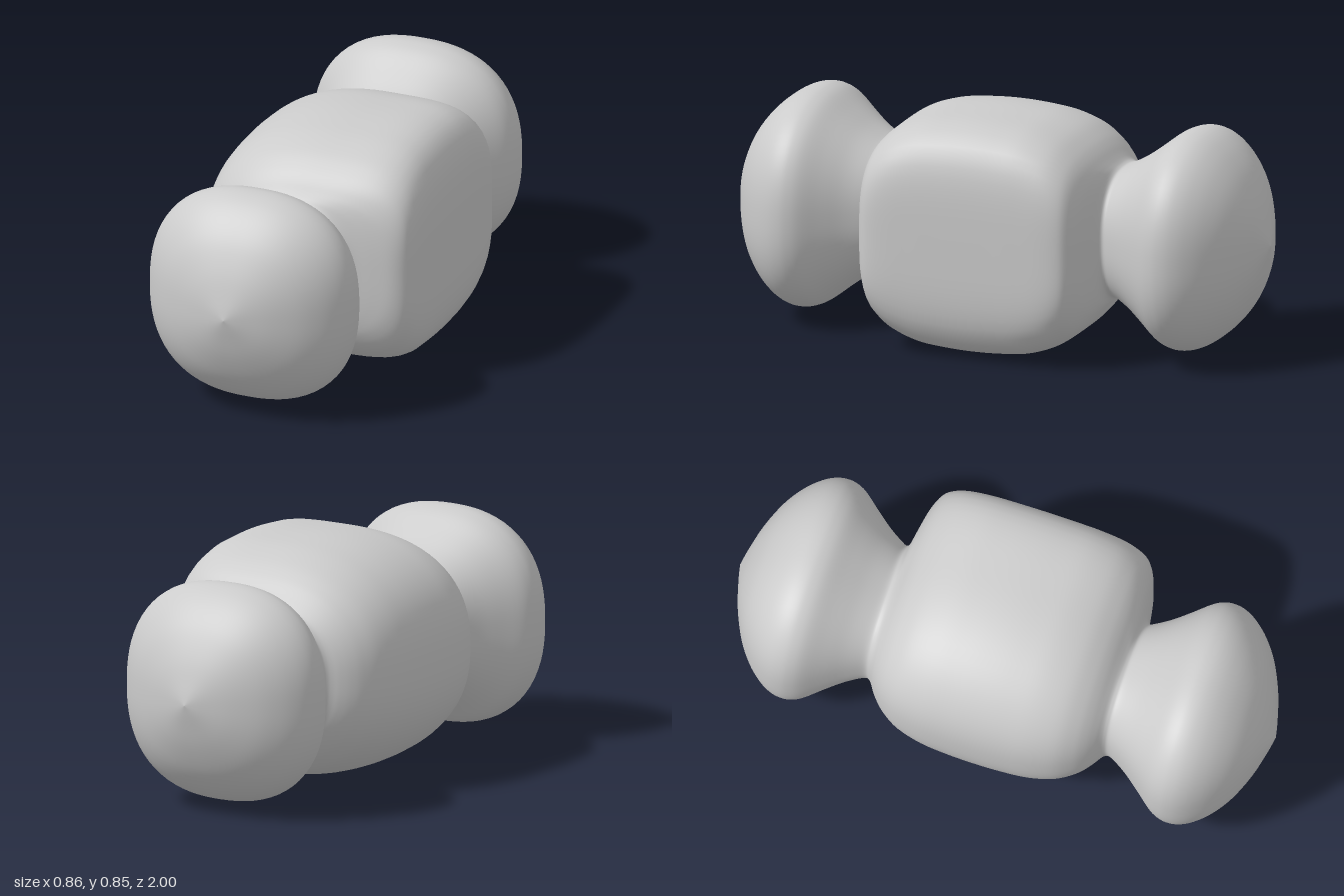
import * as THREE from 'three';

// Cross-sections from the middle towards one end:
// [z, left x, right x, half height, x of the crown, roundness of the right side]
const bodySections = [
  [0, -0.43, 0.43, 0.426, 0.08, 4.3],
  [0.1, -0.428, 0.43, 0.422, 0.08, 4.3],
  [0.2, -0.42, 0.43, 0.41, 0.08, 4.3],
  [0.29, -0.398, 0.429, 0.38, 0.07, 4.2],
  [0.35, -0.365, 0.422, 0.34, 0.06, 4],
  [0.385, -0.335, 0.405, 0.305, 0.05, 3.7],
  [0.41, -0.305, 0.365, 0.27, 0.03, 3.2],
  [0.425, -0.282, 0.3, 0.25, 0.01, 2.8],
  [0.437, -0.268, 0.235, 0.239, -0.015, 2.5],
  [0.452, -0.262, 0.212, 0.236, -0.025, 2.4],
];

// End bulb: [z, radius], from the neck to the pointed tip
const bulbProfile = [
  [0.48, 0.248], [0.53, 0.278], [0.59, 0.323], [0.65, 0.37], [0.69, 0.388],
  [0.725, 0.392], [0.765, 0.384], [0.81, 0.36], [0.86, 0.316], [0.91, 0.25],
  [0.955, 0.157], [0.985, 0.062], [1, 0],
];

const CENTRE_Y = 0.426, BULB_X = -0.025, SIDES = 80, STEPS = 4, LEFT_ROUNDNESS = 2.4;

// Mirror the half list so that the sections run from back tip to front tip
function allSections() {
  const bulb = bulbProfile.map(([z, r]) => [z, BULB_X - r, BULB_X + r, r, BULB_X, 2.4]);
  const half = [...bodySections, ...bulb];
  const back = half.slice(1).reverse().map(([z, ...rest]) => [-z, ...rest]);
  return [...back, ...half];
}

// Smooth skin through the sections, each one a squarish oval
function loft(sections) {
  const spline = new THREE.CubicInterpolant(
    sections.map((_, i) => i), sections.flat(), 6, new Float32Array(6));
  const rings = (sections.length - 1) * STEPS;
  const positions = [], index = [];

  for (let i = 0; i <= rings; i++) {
    const [z, left, right, height, crown, roundness] = spline.evaluate(i / STEPS);
    for (let j = 0; j < SIDES; j++) {
      const angle = (j / SIDES) * Math.PI * 2;
      const c = Math.cos(angle), s = Math.sin(angle);
      const n = c > 0 ? roundness : LEFT_ROUNDNESS;
      const k = (Math.abs(c) ** n + Math.abs(s) ** n) ** (-1 / n);
      const width = c > 0 ? right - crown : crown - left;
      positions.push(crown + c * k * width, CENTRE_Y + s * k * height, z);
      if (i < rings) {
        const a = i * SIDES + j, b = i * SIDES + (j + 1) % SIDES;
        index.push(a, b, a + SIDES, b, b + SIDES, a + SIDES);
      }
    }
  }

  const geometry = new THREE.BufferGeometry();
  geometry.setAttribute('position', new THREE.Float32BufferAttribute(positions, 3));
  geometry.setIndex(index);
  geometry.computeVertexNormals();
  return geometry;
}

export function createModel() {
  const model = new THREE.Group();
  model.name = 'model';

  // Body, necks and end bulbs are one continuous skin
  const body = new THREE.Mesh(
    loft(allSections()), new THREE.MeshStandardMaterial({ color: 0xcccccc }));
  body.name = 'bodyWithEndBulbs';
  model.add(body);
  return model;
}
